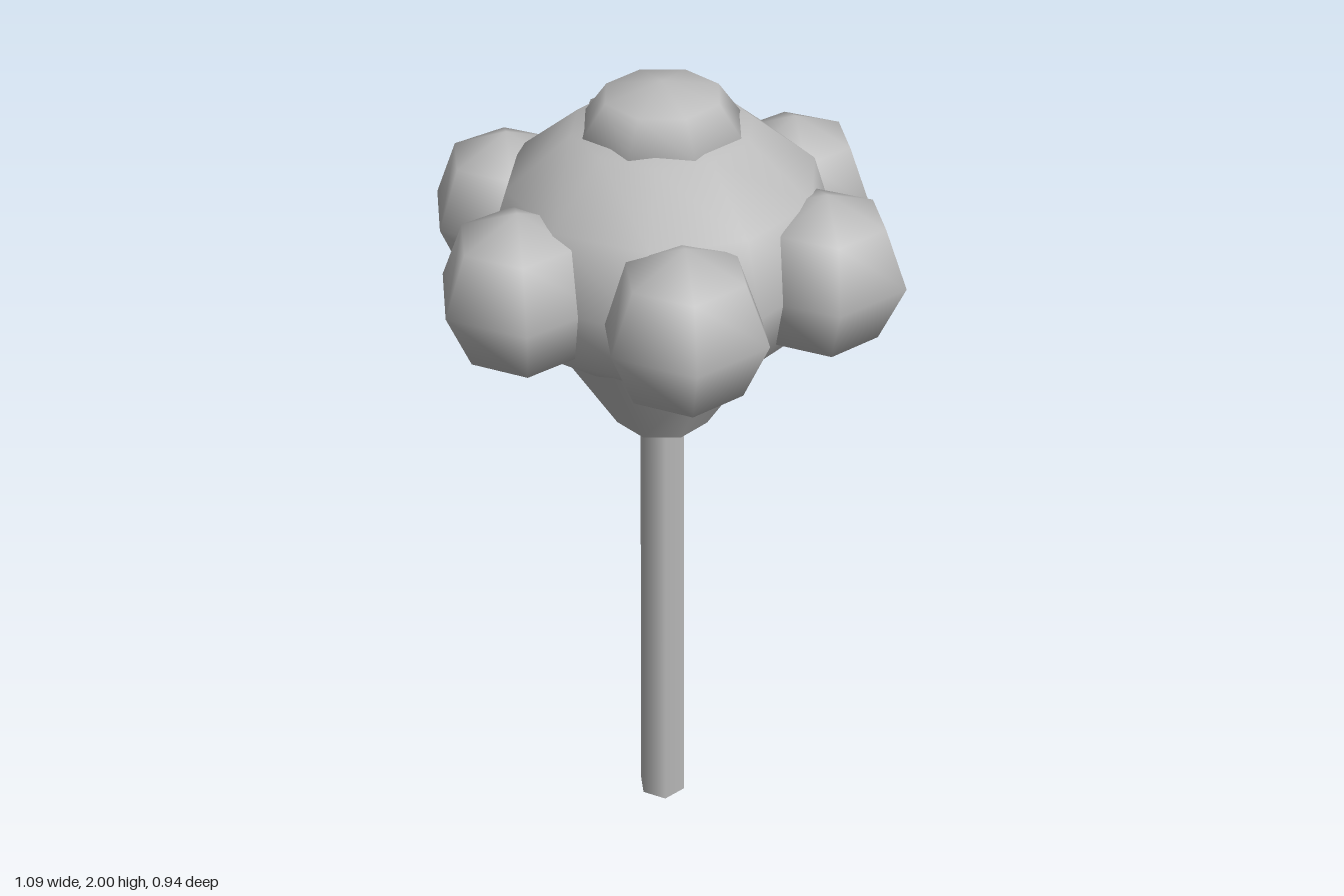
import * as THREE from 'three';

export function createModel() {
  const model = new THREE.Group();
  const grey = new THREE.MeshStandardMaterial({ color: 0xbcbcbc, side: THREE.DoubleSide });
  grey.name = 'plain grey';

  const add = (name, geometry, x, y, z) => {
    const mesh = new THREE.Mesh(geometry, grey);
    mesh.name = name;
    mesh.position.set(x, y, z);
    model.add(mesh);
    return mesh;
  };

  // Tapered six-sided stem, open at the ends, with corners on the x axis
  const stemHeight = 1.3;
  const stem = add('stem', new THREE.CylinderGeometry(0.053, 0.062, stemHeight, 6, 1, true), 0, stemHeight / 2, 0);
  stem.rotation.y = Math.PI / 2;

  // Eight-sided flaring cup under the head
  add('cup', new THREE.CylinderGeometry(0.26, 0.11, 0.25, 8, 1, true), 0, 1.31, 0);

  // Squashed head
  add('head', new THREE.SphereGeometry(0.383, 10, 6), 0, 1.635, 0).scale.y = 0.8;

  // Flat dome on top of the head
  add('topDome', new THREE.SphereGeometry(0.177, 8, 4), 0, 1.9, 0).scale.y = 0.565;

  // Ring of six buds, all facing the same way
  const budGeometry = new THREE.SphereGeometry(0.181, 6, 4);
  for (let i = 0; i < 6; i++) {
    const a = (i * Math.PI) / 3;
    add('bud' + (i + 1), budGeometry, 0.363 * Math.cos(a), 1.635, 0.363 * Math.sin(a));
  }

  return model;
}
